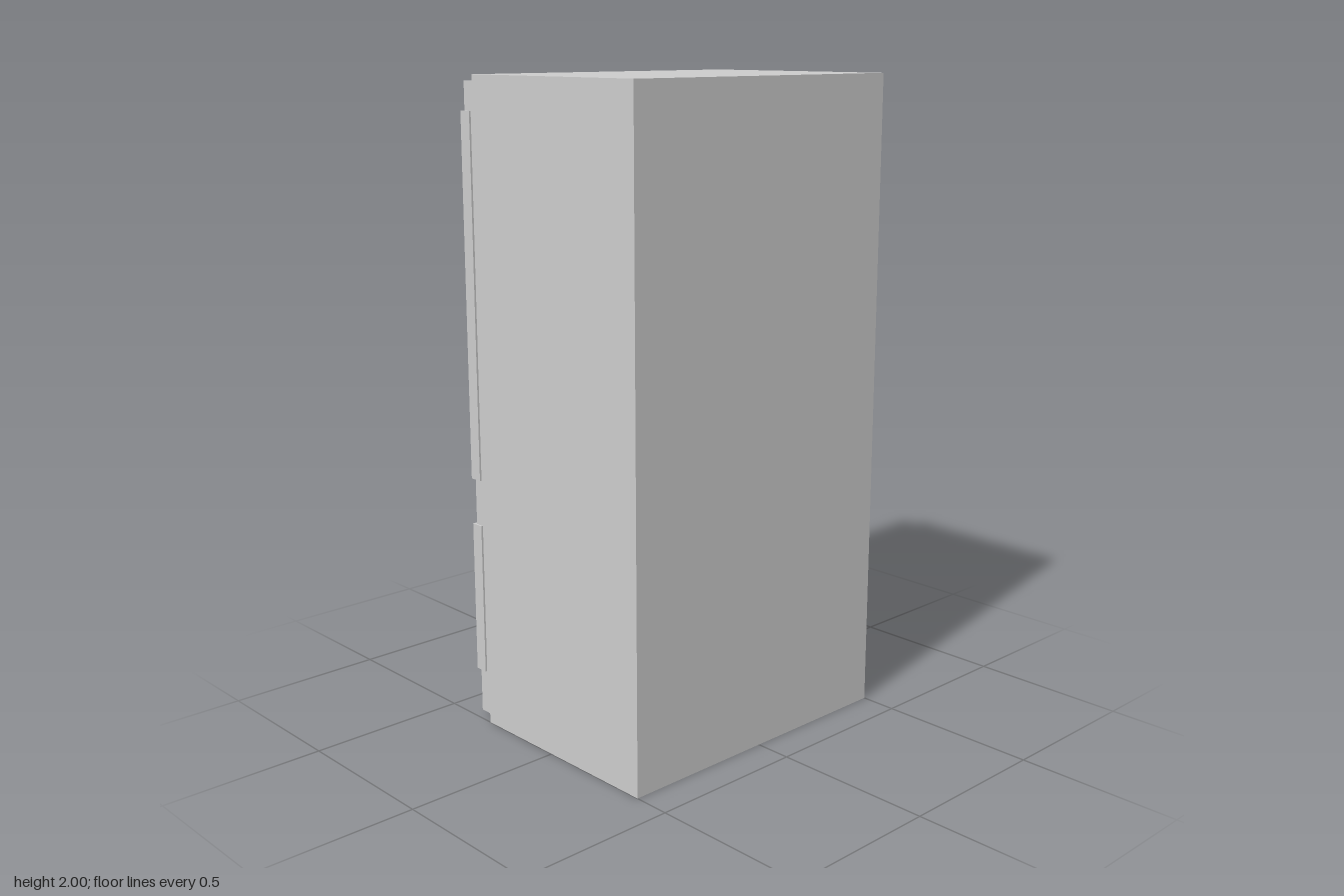
import * as THREE from 'three';

const material = new THREE.MeshStandardMaterial({ color: 0xcccccc, flatShading: true });

// Extrude an [x, z] outline upward from y0 to y1
function prism(name, outline, y0, y1) {
  const shape = new THREE.Shape(outline.map(([x, z]) => new THREE.Vector2(x, -z)));
  const geometry = new THREE.ExtrudeGeometry(shape, { depth: y1 - y0, bevelEnabled: false });
  geometry.rotateX(-Math.PI / 2).translate(0, y0, 0);
  const mesh = new THREE.Mesh(geometry, material);
  mesh.name = name;
  return mesh;
}

function box(name, [x0, x1], [y0, y1], [z0, z1]) {
  const mesh = new THREE.Mesh(new THREE.BoxGeometry(x1 - x0, y1 - y0, z1 - z0), material);
  mesh.position.set((x0 + x1) / 2, (y0 + y1) / 2, (z0 + z1) / 2);
  mesh.name = name;
  return mesh;
}

// Door and cabinet dimensions; the doors face -x
const FACE = -0.374, FRONT = -0.306, BACK = 0.386;
const DOOR_Z = [-0.476, 0.479];

// Door outline with a wedge-shaped finger pocket beside the handle
const pocketOutline = [
  [FRONT, DOOR_Z[0]], [FACE, DOOR_Z[0]], [FACE, 0.34],
  [FACE + 0.02, 0.405], [FACE, 0.41], [FACE, DOOR_Z[1]], [FRONT, DOOR_Z[1]],
];

// L-shaped grip: a plate on the face that wraps round the door edge
const gripOutline = [
  [-0.386, 0.392], [-0.386, 0.485], [-0.344, 0.485],
  [-0.344, DOOR_Z[1]], [FACE, DOOR_Z[1]], [FACE, 0.392],
];

function compartment(name, cabinetY, doorY, gripY) {
  const group = new THREE.Group();
  group.name = name;
  group.add(box('cabinet', [FRONT, BACK], cabinetY, [-0.5, 0.5]));

  // Door: solid ends with the pocketed section between them
  const door = new THREE.Group();
  door.name = 'door';
  const pocketY = [gripY[0] + 0.02, gripY[1] - 0.02];
  door.add(
    box('doorBottom', [FACE, FRONT], [doorY[0], pocketY[0]], DOOR_Z),
    prism('doorMiddle', pocketOutline, ...pocketY),
    box('doorTop', [FACE, FRONT], [pocketY[1], doorY[1]], DOOR_Z),
    prism('handle', gripOutline, ...gripY),
  );
  group.add(door);
  return group;
}

export function createModel() {
  const fridge = new THREE.Group();
  fridge.name = 'refrigerator';
  const seam = 0.714;
  fridge.add(
    compartment('freezer', [0, seam], [0.014, seam], [0.155, 0.635]),
    compartment('fridge', [seam, 2], [seam, 1.98], [0.78, 1.895]),
  );
  return fridge;
}
